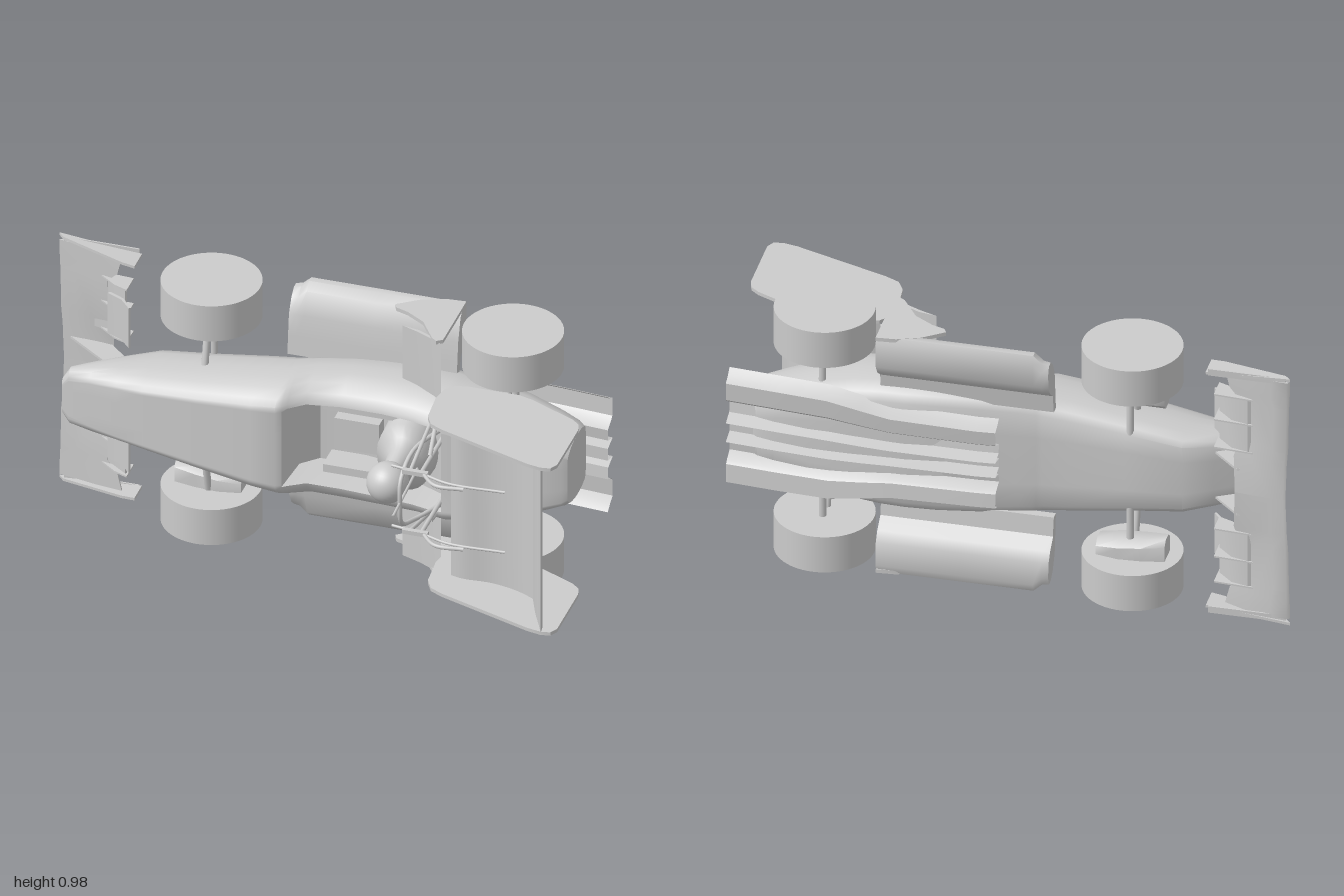
import * as THREE from 'three';
import { toCreasedNormals, mergeVertices } from 'three/addons/utils/BufferGeometryUtils.js';

// The car lies on its side: nose towards -x, roof towards +z, width along y.
const solid = new THREE.MeshStandardMaterial({ color: 0xcccccc });
const thin = new THREE.MeshStandardMaterial({ color: 0xcccccc, side: THREE.DoubleSide });
const V = (x, y, z) => new THREE.Vector3(x, y, z);

export function createModel() {
  const car = new THREE.Group();
  car.name = 'raceCar';
  car.position.y = 0.493;

  const add = (name, geo, mat = solid) => {
    const m = new THREE.Mesh(geo, mat);
    m.name = name;
    car.add(m);
    return m;
  };

  // Skin over rings of [x, y, z]; closed rings get end caps
  const loft = (rings, closed, crease = 0.7) => {
    const pos = rings.flat(2), idx = [], n = rings[0].length;
    for (let i = 0; i < rings.length - 1; i++)
      for (let j = 0; j < (closed ? n : n - 1); j++) {
        const a = i * n + j, b = i * n + (j + 1) % n;
        idx.push(a, b, a + n, b, b + n, a + n);
      }
    if (closed) [0, rings.length - 1].forEach((r) => {
      const c = [0, 1, 2].map((k) => rings[r].reduce((s, p) => s + p[k], 0) / n);
      const ci = pos.length / 3;
      pos.push(...c);
      for (let j = 0; j < n; j++) {
        const a = r * n + j, b = r * n + (j + 1) % n;
        idx.push(...(r ? [ci, a, b] : [ci, b, a]));
      }
    });
    const g = new THREE.BufferGeometry();
    g.setAttribute('position', new THREE.Float32BufferAttribute(pos, 3));
    g.setIndex(idx);
    return toCreasedNormals(g, crease);
  };

  // Outline in x/z, extruded between y0 and y1
  const plate = (pts, y0, y1, curved = false) => {
    const v = pts.map((p) => new THREE.Vector2(...p));
    const shape = new THREE.Shape(curved ? new THREE.SplineCurve([...v, v[0]]).getPoints(40).slice(0, -1) : v);
    const g = new THREE.ExtrudeGeometry(shape, { depth: y1 - y0, bevelEnabled: false });
    g.rotateX(Math.PI / 2).translate(0, y1, 0);
    g.deleteAttribute('uv');
    g.deleteAttribute('normal');
    return toCreasedNormals(mergeVertices(g), 0.6);
  };
  const sided = (s, pts, y0, y1) => (s > 0 ? plate(pts, y0, y1) : plate(pts, -y1, -y0));

  const rod = (name, r, ...pts) => add(name, new THREE.TubeGeometry(
    new THREE.CatmullRomCurve3(pts), pts.length > 2 ? 24 : 1, r, 10));

  // Body stations: x, half width, roof z, belly z, cockpit depth
  const stations = [
    [-0.905, 0.07, -0.075, -0.1, 0], [-0.88, 0.11, -0.068, -0.12, 0], [-0.8, 0.128, -0.05, -0.165, 0],
    [-0.7, 0.143, -0.03, -0.22, 0], [-0.6, 0.157, -0.012, -0.268, 0], [-0.4, 0.187, 0.012, -0.265, 0],
    [-0.2, 0.218, 0.03, -0.268, 0], [-0.11, 0.229, 0.032, -0.27, 0], [-0.09, 0.232, 0.02, -0.272, 0],
    [-0.075, 0.234, 0.005, -0.275, 0.14], [-0.02, 0.239, -0.037, -0.28, 0.16], [0.1, 0.248, -0.047, -0.3, 0.16],
    [0.25, 0.253, -0.042, -0.32, 0.14], [0.36, 0.252, -0.03, -0.33, 0.12], [0.45, 0.25, -0.008, -0.33, 0.1],
    [0.475, 0.247, 0.002, -0.33, 0], [0.55, 0.238, 0.002, -0.33, 0], [0.7, 0.203, -0.03, -0.325, 0],
    [0.82, 0.16, -0.058, -0.31, 0], [0.88, 0.135, -0.073, -0.298, 0], [0.9, 0.12, -0.085, -0.288, 0],
  ];
  const bodyRing = ([x, w, t, b, d]) => {
    const h = t - b;
    const half = [[0.4, 0], [0.78, 0.01], [0.89, 0.07], [0.97, 0.22], [1, 0.44], [0.98, 0.63],
      [0.92, 0.79], [0.81, 0.92], [0.72, 0.985], [0.66, 1]].map(([u, v]) => [x, u * w, b + v * h]);
    half.push([x, 0.63 * w, t - d], [x, 0.3 * w, t - d]);
    return [...half, ...half.map(([px, y, z]) => [px, -y, z]).reverse()];
  };
  add('body', loft(stations.map(bodyRing), true));

  // Cockpit contents
  add('steeringConsole', new THREE.BoxGeometry(0.16, 0.12, 0.07)).position.set(0.13, 0, -0.17);
  for (const s of [1, -1])
    add('cockpitSidePanel', new THREE.BoxGeometry(0.3, 0.03, 0.1)).position.set(0.17, s * 0.125, -0.15);
  const neck = new THREE.LatheGeometry([[0.11, -0.18], [0.105, -0.06], [0.075, -0.035], [0.052, 0], [0.042, 0.07]]
    .map((p) => new THREE.Vector2(...p)), 24);
  neck.rotateX(Math.PI / 2).scale(0.95, 1.25, 1).translate(0.325, 0, 0);
  add('driverShoulders', neck, thin);
  add('helmet', new THREE.SphereGeometry(0.073, 32, 20)).position.set(0.32, 0, 0.113);

  // Roll hoop and mast
  rod('rollHoop', 0.008, V(0.46, 0.15, -0.03), V(0.41, 0.14, 0.1), V(0.4, 0.09, 0.21),
    V(0.4, 0, 0.23), V(0.4, -0.09, 0.21), V(0.41, -0.14, 0.1), V(0.46, -0.15, -0.03));
  rod('mast', 0.005, V(0.39, 0, 0), V(0.405, 0, 0.32));

  // Floor: low outer strips and two central keels, kicking up at the tail
  const floorHalf = [[0.024, 0.055], [0.038, 0], [0.055, 0.05], [0.1, 0.055], [0.12, 0.015], [0.13, 0.005],
    [0.2, 0], [0.215, 0.03], [0.235, 0.055]];
  const floorProfile = [...floorHalf.map(([y, h]) => [-y, h]).reverse(), ...floorHalf];
  add('floorChannels', loft([[0.03, 0.75, -0.365], [0.1, 0.75, -0.37], [0.4, 0.78, -0.372], [0.5, 0.87, -0.371],
    [0.62, 0.97, -0.366], [0.8, 0.98, -0.353], [0.98, 0.98, -0.338]]
    .map(([x, k, z]) => floorProfile.map(([y, h]) => [x, y * k, z + h])), false, 0.6), thin);

  // Rear wing between the endplates
  add('rearWingMainPlane', plate([[0.55, 0.125], [0.6, 0.112], [0.7, 0.113], [0.8, 0.14], [0.88, 0.195],
    [0.8, 0.155], [0.7, 0.132], [0.6, 0.135]], -0.325, 0.325, true));
  add('rearWingFlap', plate([[0.868, 0.2], [0.89, 0.21], [0.92, 0.27], [0.945, 0.335], [0.952, 0.378],
    [0.93, 0.335], [0.9, 0.275]], -0.325, 0.325, true));

  for (const s of [1, -1]) {
    // Mirrored loft: the ring order flips with the side
    const sideLoft = (rings, crease) => loft(rings.map((ring) => {
      const r = ring.map(([x, y, z]) => [x, s * y, z]);
      return s > 0 ? r : r.reverse();
    }), true, crease);

    // Wheels and suspension arms
    for (const [x, name] of [[-0.415, 'front'], [0.663, 'rear']]) {
      add(name + 'Wheel', new THREE.CylinderGeometry(0.174, 0.174, 0.14, 64)).position.set(x, s * 0.408, -0.216);
      rod(name + 'UpperArm', 0.013, V(x, s * 0.13, -0.13), V(x, s * 0.36, -0.185));
      rod(name + 'LowerArm', 0.013, V(x, s * 0.13, -0.25), V(x, s * 0.36, -0.245));
    }

    // Brake duct: tapered scoop inside the front wheel
    add('brakeDuct', sideLoft([[-0.54, 0.262, 0.04], [-0.46, 0.268, 0.055], [-0.38, 0.275, 0.06], [-0.3, 0.285, 0.045]]
      .map(([x, y, r]) => [[0.345, -r], [0.345, r], [y + 0.02, r], [y, r * 0.5], [y, -r * 0.5], [y + 0.02, -r]]
        .map(([py, z]) => [x, py, z - 0.23])), 0.9));

    // Sidepod: top falls away outwards, underside hollowed towards the body
    add('sidepod', sideLoft([[-0.155, 0.435], [-0.13, 0.44], [-0.1, 0.468], [0.15, 0.468], [0.45, 0.468]]
      .map(([x, e]) => [[0.21, -0.28], [0.28, -0.29], [0.315, -0.335], [0.35, -0.358], [e - 0.03, -0.363],
        [e, -0.35], [e, -0.325], [e - 0.025, -0.295], [0.36, -0.268], [0.28, -0.258], [0.21, -0.25]]
        .map(([y, z]) => [x, y, z]))), thin);

    // Winglet behind the sidepod with its triangular endplate
    add('sideWinglet', sided(s, [[0.285, -0.16], [0.35, -0.148], [0.41, -0.118], [0.448, -0.082],
      [0.415, -0.103], [0.35, -0.135]], 0.2, 0.46));
    add('sideWingletEndplate', sided(s, [[0.225, -0.27], [0.3, -0.325], [0.38, -0.355], [0.45, -0.36],
      [0.45, -0.1], [0.43, -0.085], [0.41, -0.1], [0.35, -0.19], [0.28, -0.235], [0.235, -0.25]], 0.455, 0.469));

    // Rear wing endplate
    add('rearEndplate', sided(s, [[0.475, 0.06], [0.485, 0.0], [0.515, -0.035], [0.56, -0.044], [0.74, -0.044],
      [0.79, -0.03], [0.96, 0.05], [0.99, 0.075], [1, 0.11], [1, 0.345], [0.985, 0.375], [0.95, 0.38],
      [0.9, 0.37], [0.56, 0.25], [0.51, 0.225], [0.485, 0.18]], 0.322, 0.335));

    // Wing struts and posts
    rod('wingStrut', 0.005, V(0.36, s * 0.12, 0.19), V(0.47, s * 0.12, 0.21), V(0.58, s * 0.12, 0.245), V(0.78, s * 0.12, 0.24));
    rod('frontPost', 0.007, V(0.43, s * 0.18, -0.03), V(0.43, s * 0.12, 0.2));
    rod('rearPost', 0.008, V(0.47, s * 0.12, -0.03), V(0.47, s * 0.12, 0.21));
    rod('lowerBrace', 0.008, V(0.45, s * 0.18, -0.02), V(0.47, s * 0.13, 0.11));
    rod('upperBrace', 0.007, V(0.47, s * 0.12, 0.2), V(0.54, s * 0.12, 0.27), V(0.64, s * 0.12, 0.265));
    add('strutBracket', new THREE.BoxGeometry(0.09, 0.016, 0.018)).position.set(0.45, s * 0.12, 0.21);

    // Front wing half: chord grows and the trailing edge lifts away from the centre
    const wing = [[0, -0.975, 0.18, 0.012], [0.14, -0.98, 0.19, 0.02], [0.2, -0.985, 0.18, 0.035],
      [0.36, -0.988, 0.18, 0.035], [0.4, -0.99, 0.22, 0.045], [0.47, -0.992, 0.24, 0.05]].map(([y, x, c, lift]) =>
      [[0, 0], [0.3, 0.25], [0.65, 0.6], [1, 1], [1, 0.85], [0.65, 0.3], [0.3, -0.05], [0.05, -0.15]]
        .map(([u, v]) => [x + u * c, s * y, -0.318 + v * lift]));
    add('frontWing', loft(wing, true), thin);
    add('frontFlap', sided(s, [[-0.86, -0.298], [-0.79, -0.28], [-0.73, -0.235], [-0.725, -0.24],
      [-0.78, -0.292], [-0.84, -0.306]], 0.16, 0.37));
    add('frontFlapUpper', sided(s, [[-0.8, -0.255], [-0.74, -0.225], [-0.7, -0.18], [-0.695, -0.185],
      [-0.735, -0.235], [-0.79, -0.263]], 0.17, 0.33));
    for (const y of [0.16, 0.27, 0.37])
      add('flapFence', sided(s, [[-0.86, -0.31], [-0.72, -0.3], [-0.72, -0.22], [-0.77, -0.24]], y, y + 0.006));

    // Front wing endplate, leaning inwards towards the rear
    const end = add('frontEndplate', plate([[-0.15, -0.017], [0.15, -0.002], [0.15, 0.082], [0.1, 0.075],
      [-0.13, 0.005]], -0.005, 0.005));
    end.position.set(-0.845, s * 0.475, -0.313);
    end.rotation.z = -s * 0.07;
    add('endplateFoot', new THREE.BoxGeometry(0.27, 0.025, 0.006)).position.set(-0.84, s * 0.473, -0.318);

    // Raked pylon joining nose and front wing
    add('nosePylon', sided(s, [[-0.95, -0.312], [-0.8, -0.305], [-0.69, -0.2], [-0.69, -0.12], [-0.8, -0.2]], 0.085, 0.094));
  }
  return car;
}
